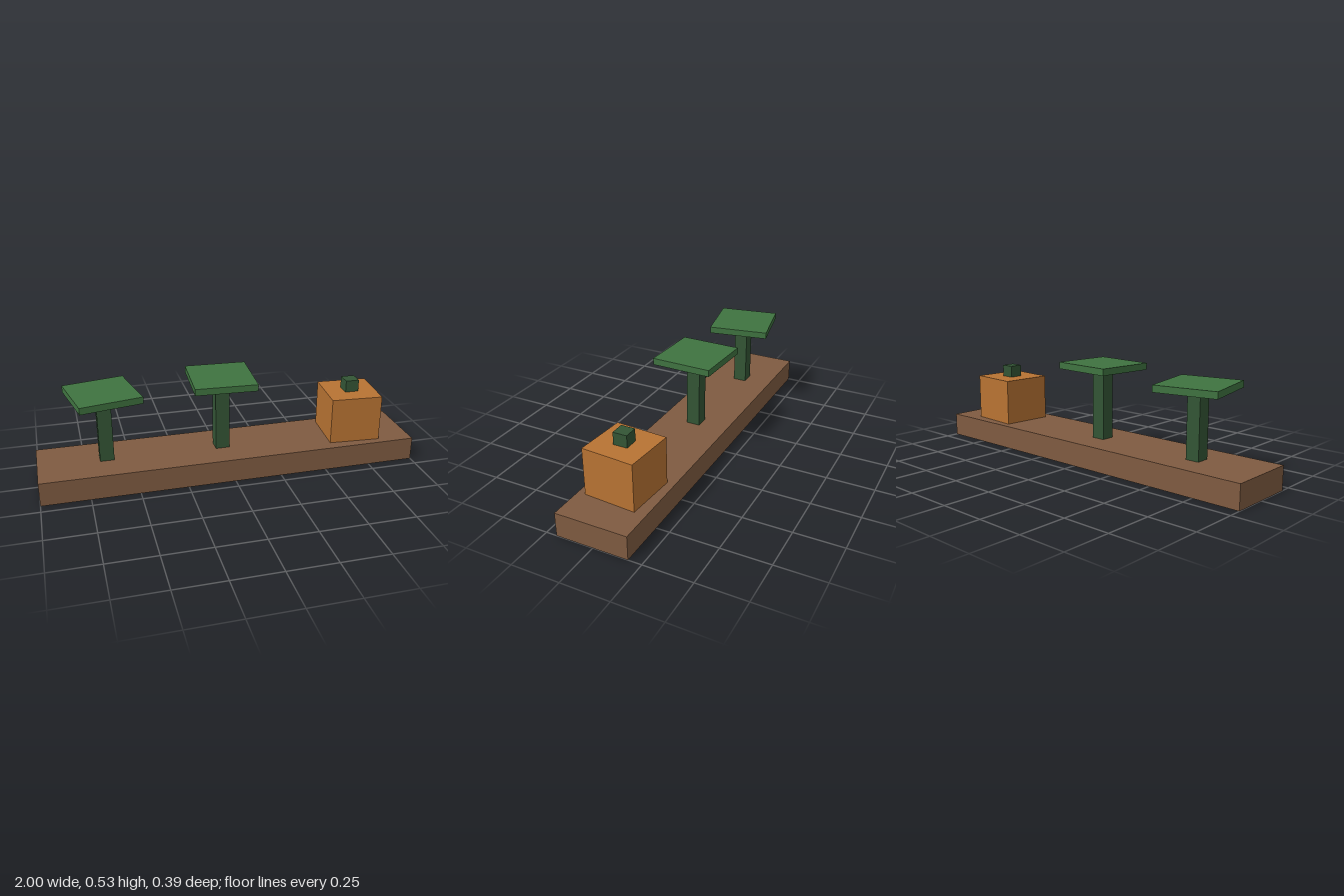
import * as THREE from 'three';

const paint = (name, color) => {
  const m = new THREE.MeshStandardMaterial({ color, side: THREE.DoubleSide });
  m.name = name;
  return m;
};

// Box without its bottom face, resting at the height of its base
function openBox(w, h, d) {
  const geo = new THREE.BoxGeometry(w, h, d).translate(0, h / 2, 0);
  const idx = Array.from(geo.index.array);
  idx.splice(18, 6);
  geo.setIndex(idx);
  geo.clearGroups();
  return geo;
}

export function createModel() {
  const soil = paint('soilBrown', 0x7f5b41);
  const orange = paint('pumpkinOrange', 0xb87333);
  const leafGreen = paint('leafGreen', 0x3f7340);
  const stemGreen = paint('stemGreen', 0x335535);

  const model = new THREE.Group();
  model.name = 'gardenBed';

  const add = (parent, name, size, material, pos, rot = [0, 0, 0]) => {
    const mesh = new THREE.Mesh(openBox(...size), material);
    mesh.name = name;
    mesh.position.set(...pos);
    mesh.rotation.set(rot[0], rot[1], rot[2]);
    parent.add(mesh);
  };

  const ground = 0.125;
  const stemWidth = 0.073;

  // Soil bed
  add(model, 'soilBed', [2, ground, 0.375], soil, [0, 0, 0.0065]);

  // Sprouts: a square stem below a slightly tilted, turned leaf
  const sprouts = [
    { x: -0.645, z: -0.0015, top: 0.463, turn: 0.197, tilt: -0.008 },
    { x: -0.034, z: 0.0065, top: 0.4925, turn: -0.05, tilt: 0.015 },
  ];
  for (const { x, z, top, turn, tilt } of sprouts) {
    const sprout = new THREE.Group();
    sprout.name = 'sprout';
    sprout.position.set(x, 0, z);
    add(sprout, 'stem', [stemWidth, top - ground, stemWidth], stemGreen, [0, ground, 0]);
    add(sprout, 'leaf', [0.323, 0.035, 0.323], leafGreen, [0, top, 0], [tilt, turn, 0]);
    model.add(sprout);
  }

  // Pumpkin with its stalk
  const pumpkin = new THREE.Group();
  pumpkin.name = 'pumpkin';
  pumpkin.position.set(0.69, ground, 0.0068);
  add(pumpkin, 'pumpkinBody', [0.274, 0.248, 0.274], orange, [0, 0, 0], [0, -0.07, 0]);
  add(pumpkin, 'pumpkinStalk', [stemWidth, 0.064, stemWidth], stemGreen, [0, 0.248, 0]);
  model.add(pumpkin);

  return model;
}
